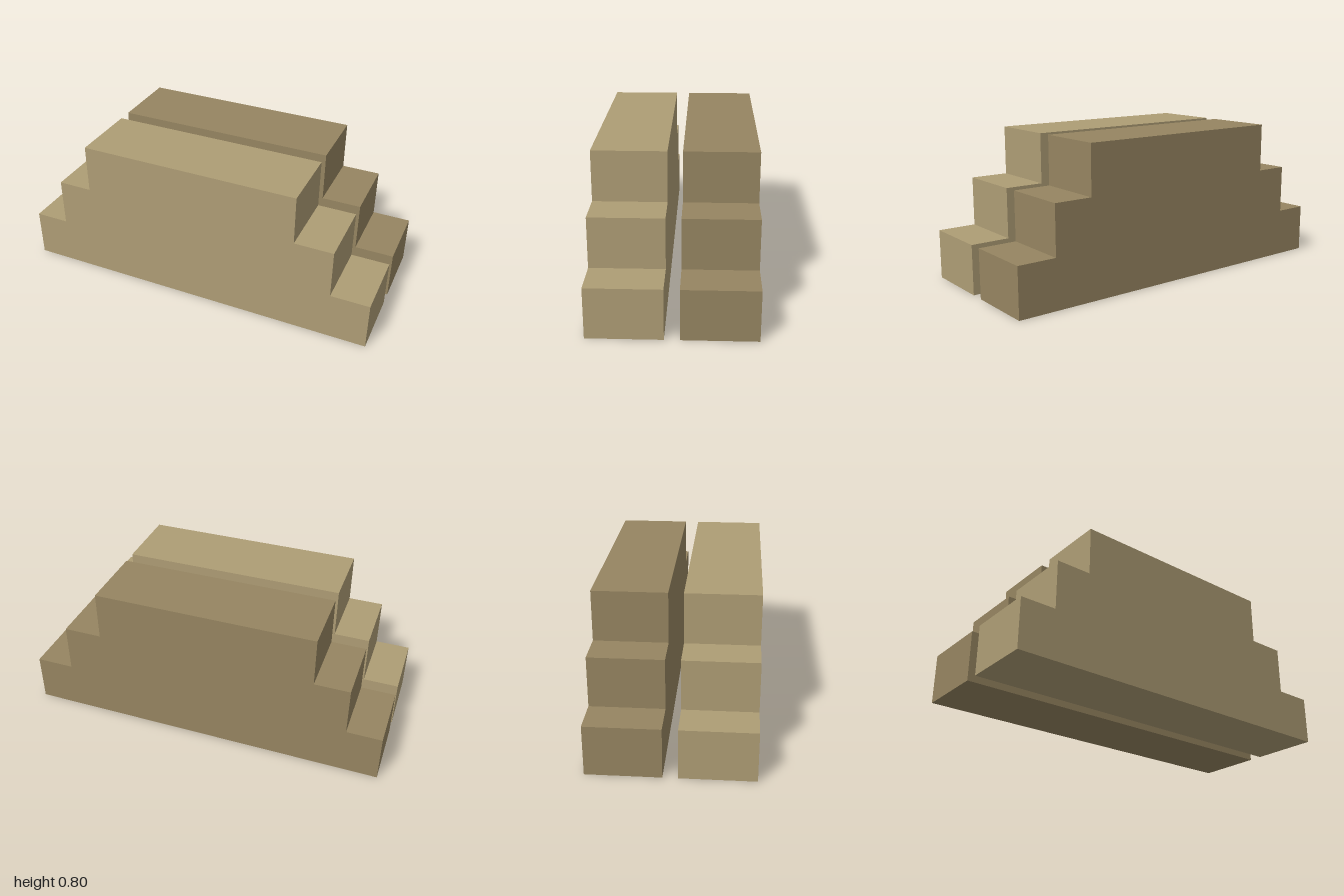
import * as THREE from 'three';

const STEP = 0.8 / 3; // height of one step
const DEPTH = 0.38;   // thickness of each half
const GAP = 0.076;    // slot between the halves

// Stepped outline: the right-hand treads are slightly deeper than the left-hand ones
function steppedProfile() {
  const left = [-1, -0.81, -0.62];
  const right = [1, 0.79, 0.58];
  const points = [];
  right.forEach((x, i) => points.push(new THREE.Vector2(x, i * STEP), new THREE.Vector2(x, (i + 1) * STEP)));
  for (let i = 2; i >= 0; i--) {
    points.push(new THREE.Vector2(left[i], (i + 1) * STEP), new THREE.Vector2(left[i], i * STEP));
  }
  return new THREE.Shape(points);
}

export function createModel() {
  const group = new THREE.Group();
  group.name = 'splitSteppedBlock';
  const geometry = new THREE.ExtrudeGeometry(steppedProfile(), { depth: DEPTH, bevelEnabled: false });

  // Two identical halves, a lighter front and a darker back
  const halves = [
    ['frontSteppedHalf', 0xae9d75, GAP / 2],
    ['backSteppedHalf', 0x968561, -GAP / 2 - DEPTH],
  ];
  for (const [name, color, z] of halves) {
    const mesh = new THREE.Mesh(geometry, new THREE.MeshStandardMaterial({ color }));
    mesh.name = name;
    mesh.position.z = z;
    group.add(mesh);
  }
  return group;
}
